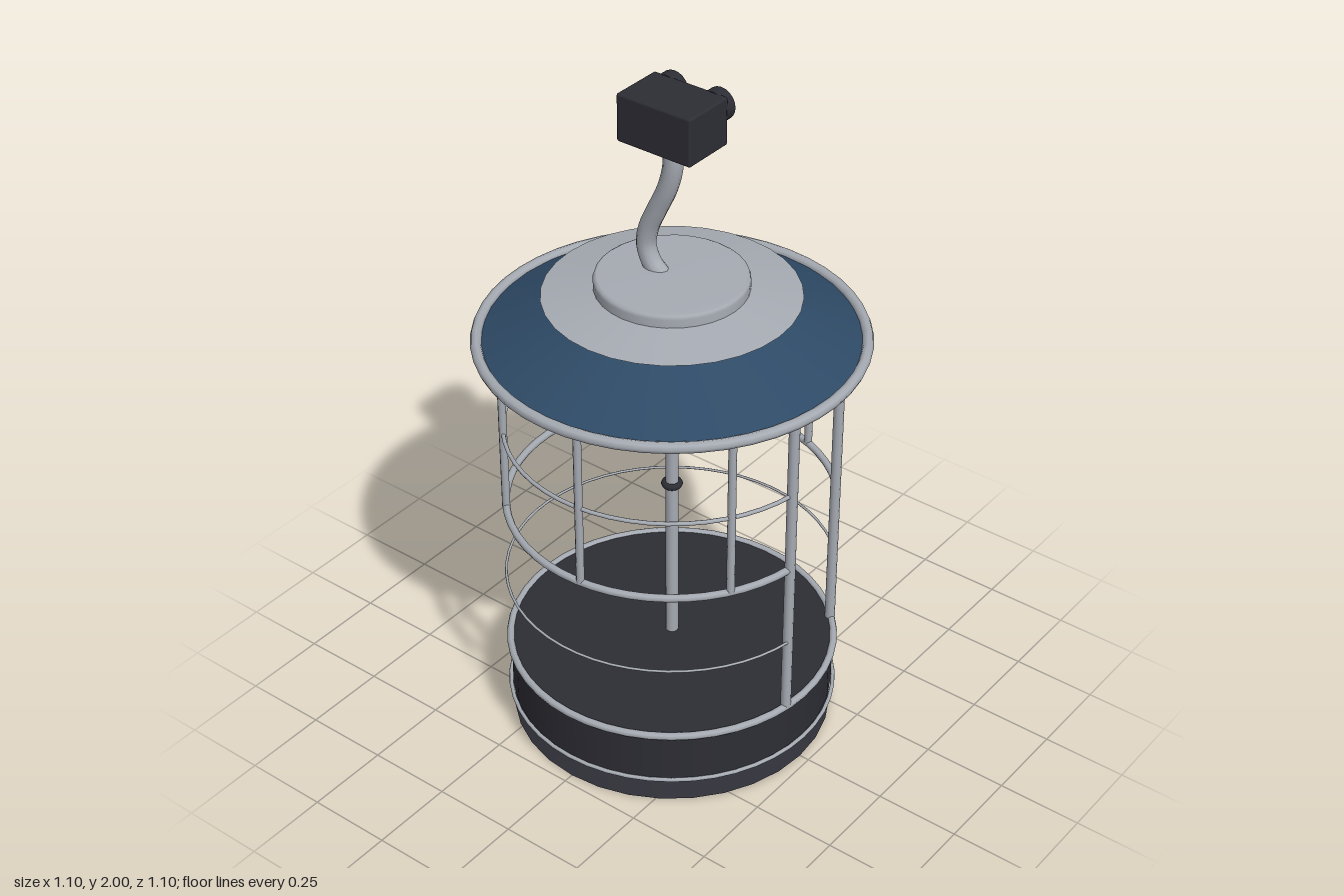
import * as THREE from 'three';
import { RoundedBoxGeometry } from 'three/addons/geometries/RoundedBoxGeometry.js';

const rad = THREE.MathUtils.degToRad;

export function createModel() {
  const model = new THREE.Group();
  model.name = 'lanternCage';

  const material = (name, color) => {
    const m = new THREE.MeshStandardMaterial({ color });
    m.name = name;
    return m;
  };
  const steel = material('steel grey', 0xa6abb3);
  const blue = material('roof blue', 0x2e4a66);
  const dark = material('charcoal', 0x2d2d35);

  const add = (name, geometry, mat, x = 0, y = 0, z = 0) => {
    const mesh = new THREE.Mesh(geometry, mat);
    mesh.name = name;
    mesh.position.set(x, y, z);
    model.add(mesh);
    return mesh;
  };
  // upright cylinder or frustum between two heights
  const column = (name, mat, rTop, rBottom, y0, y1, sides, x = 0, z = 0) =>
    add(name, new THREE.CylinderGeometry(rTop, rBottom, y1 - y0, sides), mat, x, (y0 + y1) / 2, z);
  // horizontal hoop, starting at an angle measured from +x towards +z
  const hoop = (name, mat, radius, tube, y, start = 0, arc = 360) => {
    const g = new THREE.TorusGeometry(radius, tube, 8, 48, rad(arc));
    g.rotateX(Math.PI / 2).rotateY(-rad(start));
    return add(name, g, mat, 0, y, 0);
  };

  // base: flared foot and drum with two trim hoops
  column('foot', dark, 0.33, 0.47, 0, 0.08, 32);
  column('drum', dark, 0.472, 0.472, 0.08, 0.243, 32);
  hoop('drumLowerTrim', steel, 0.478, 0.006, 0.08);
  hoop('drumUpperTrim', steel, 0.474, 0.011, 0.24);

  // cage: hoops left open at the doorway
  const doorA = -9, doorB = 44.5, R = 0.47;
  const open = [90 - doorA, 360 - (doorB - doorA)];
  hoop('lowerWire', steel, 0.478, 0.004, 0.48, ...open);
  hoop('railHoop', steel, R, 0.011, 0.73, ...open);
  hoop('upperWire', steel, R, 0.006, 0.98, ...open);

  // full-height door posts and short bars above the rail
  const bar = (name, angle, radius, y0) =>
    column(name, steel, radius, radius, y0, 1.27, 10, R * Math.sin(rad(angle)), R * Math.cos(rad(angle)));
  for (const a of [doorA, doorB]) bar('doorPost', a, 0.015, 0.24);
  for (let k = 1; k <= 6; k++) bar('cageBar', 18.8 + k * 360 / 7, 0.0115, 0.73);

  // centre pole with collar
  column('centrePole', steel, 0.019, 0.019, 0.24, 1.27, 12);
  hoop('poleCollar', dark, 0.021, 0.01, 0.77);

  // roof: closed frustum, rim, thin skirt and rounded cap
  column('roof', blue, 0.225, 0.53, 1.266, 1.405, 32);
  hoop('roofRim', steel, 0.532, 0.016, 1.27);
  column('roofSkirt', steel, 0.21, 0.355, 1.402, 1.426, 32);
  const cap = [[0.212, 1.415], [0.213, 1.45], [0.21, 1.459], [0.202, 1.464], [0, 1.465]];
  add('roofCap', new THREE.LatheGeometry(cap.map(p => new THREE.Vector2(...p)), 32), steel);

  // bent neck
  const path = [[1.44, -0.03], [1.475, -0.068], [1.525, -0.087], [1.58, -0.078], [1.65, -0.047],
    [1.72, -0.015], [1.79, 0.003], [1.88, 0.004]];
  const curve = new THREE.CatmullRomCurve3(path.map(([y, z]) => new THREE.Vector3(0, y, z)));
  add('neck', new THREE.TubeGeometry(curve, 32, 0.028, 12), steel);

  // head box with two round lenses on its side
  add('headBox', new RoundedBoxGeometry(0.162, 0.139, 0.24, 2, 0.007), dark, 0, 1.928, 0);
  for (const s of [-1, 1]) {
    const lens = new THREE.CylinderGeometry(0.046, 0.046, 0.036, 20);
    lens.rotateZ(Math.PI / 2);
    add('lens', lens, dark, 0.091, 1.954, s * 0.076);
  }
  return model;
}
